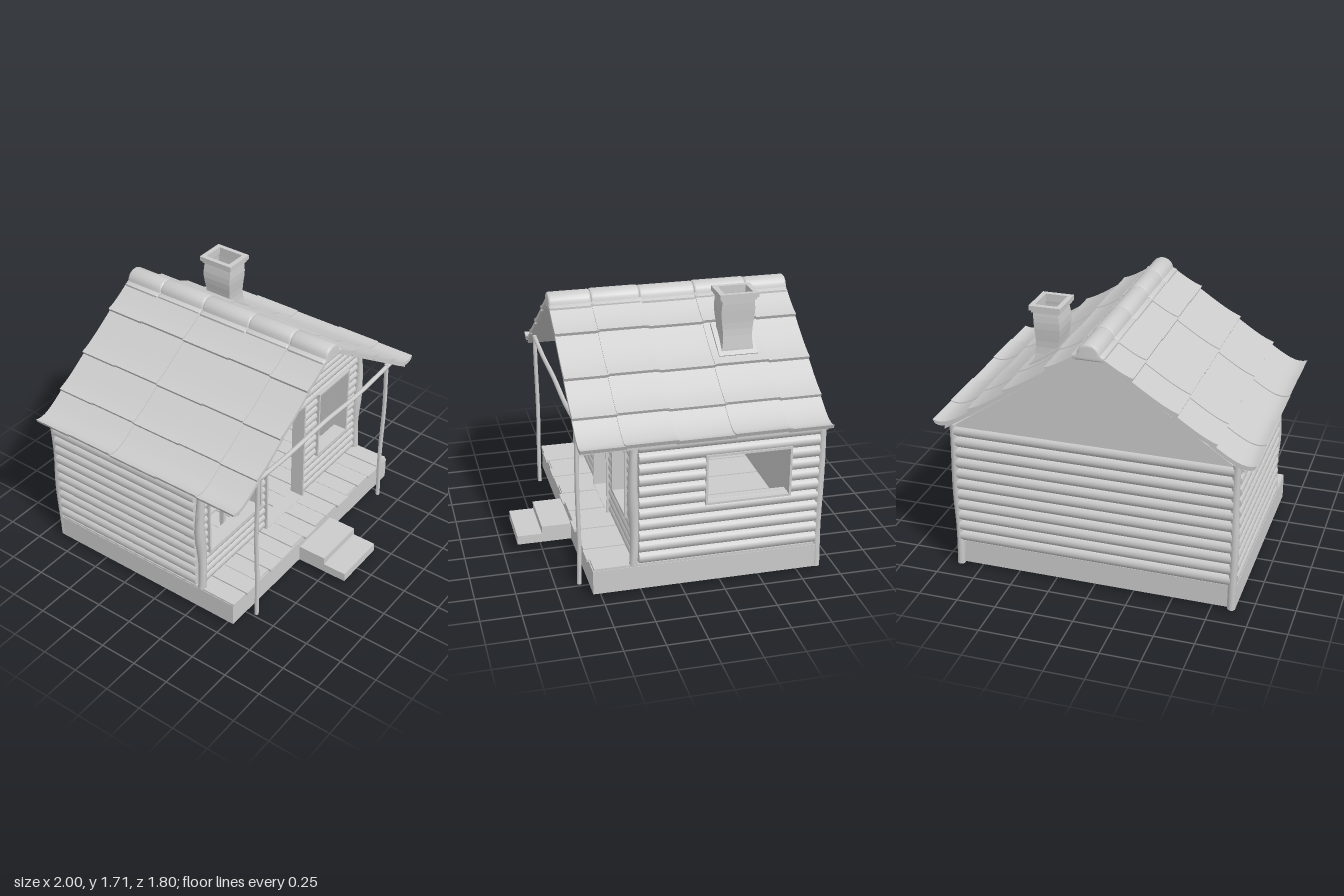
import * as THREE from 'three';
import { toCreasedNormals } from 'three/addons/utils/BufferGeometryUtils.js';

const mat = new THREE.MeshStandardMaterial({ color: 0xcccccc });
const thinMat = new THREE.MeshStandardMaterial({ color: 0xcccccc, side: THREE.DoubleSide });

export function createModel() {
  const model = new THREE.Group();

  function add(name, geo, x = 0, y = 0, z = 0, parent = model, material = mat) {
    const mesh = new THREE.Mesh(geo, material);
    mesh.name = name;
    mesh.position.set(x, y, z);
    parent.add(mesh);
    return mesh;
  }
  // box given by its min and max on each axis
  function block(name, x0, x1, y0, y1, z0, z1, parent = model) {
    return add(name, new THREE.BoxGeometry(x1 - x0, y1 - y0, z1 - z0),
      (x0 + x1) / 2, (y0 + y1) / 2, (z0 + z1) / 2, parent);
  }
  function extrude(points, depth, holes = [], bevel = 0) {
    const shape = new THREE.Shape(points.map(p => new THREE.Vector2(...p)));
    for (const [a, b, c, d] of holes) {
      shape.holes.push(new THREE.Path([[a, c], [a, d], [b, d], [b, c]].map(p => new THREE.Vector2(...p))));
    }
    return new THREE.ExtrudeGeometry(shape, { depth, bevelEnabled: bevel > 0, bevelSize: bevel,
      bevelThickness: bevel, bevelOffset: -bevel, bevelSegments: 3 });
  }
  const rect = (a, b, c, d) => [[a, c], [b, c], [b, d], [a, d]];

  // upright pole, bent and swollen along its height
  function pole(name, x, z, y0, y1, r, wave, swell, phase) {
    const geo = new THREE.CylinderGeometry(r, r, y1 - y0, 10, 14);
    const p = geo.attributes.position;
    for (let i = 0; i < p.count; i++) {
      const t = p.getY(i) / (y1 - y0) + 0.5;
      const s = 1 + swell * Math.exp(-((t - 0.48) ** 2) / 0.025);
      p.setX(i, p.getX(i) * s + wave * Math.sin(t * 9 + phase));
      p.setZ(i, p.getZ(i) * s + wave * Math.cos(t * 8 + phase));
    }
    geo.computeVertexNormals();
    add(name, toCreasedNormals(geo, 0.9), x, (y0 + y1) / 2, z);
  }

  // wall in its own plane: logs outside (+z), a flat lining inside, framed openings [x0, x1, y0, y1]
  function logWall(name, half, rows, y0, y1, openings) {
    const wall = new THREE.Group();
    wall.name = name;
    const step = (y1 - y0) / rows;
    for (let i = 0; i < rows; i++) {
      const y = y0 + (i + 0.5) * step;
      const len = typeof half === 'function' ? half(y) : half;
      if (len < 0.02) continue;
      let start = -len;
      const cuts = openings.filter(o => y > o[2] && y < o[3]).sort((a, b) => a[0] - b[0]);
      for (const cut of [...cuts, [len, len]]) {
        if (cut[0] - start > 0.01) {
          const log = new THREE.CylinderGeometry(step * 0.56, step * 0.56, cut[0] - start, 12);
          add('log', log.rotateZ(Math.PI / 2), (start + cut[0]) / 2, y, 0, wall);
        }
        start = cut[1];
      }
    }
    const w0 = typeof half === 'function' ? half(y0) : half;
    const w1 = typeof half === 'function' ? Math.max(half(y1), 0.005) : half;
    add('lining', extrude([[-w0, y0], [w0, y0], [w1, y1], [-w1, y1]], 0.02, openings), 0, 0, -0.04, wall);
    for (const [a, b, c, d] of openings) {
      const f = 0.014;
      add('openingFrame', extrude(rect(a - f, b + f, Math.max(c - f, y0), d + f), 0.095,
        [[a, b, Math.max(c, y0 + 0.003), d]]), 0, 0, -0.05, wall);
    }
    model.add(wall);
    return wall;
  }

  // foundation, floor planks and steps
  block('foundation', -0.9, 0.9, 0.02, 0.175, -0.86, 0.55);
  const planks = 14;
  for (let i = 0; i < planks; i++) {
    const x = -0.9 + i * 1.8 / planks;
    const front = 0.555 + 0.012 * Math.sin(i * 2.3);
    block('floorPlank', x + 0.003, x + 1.8 / planks - 0.003, 0.172, 0.187 + 0.003 * (i % 2), -0.85, front);
  }
  block('upperStep', -0.17, 0.19, 0.02, 0.13, 0.54, 0.74);
  block('lowerStep', -0.17, 0.19, 0.02, 0.08, 0.73, 0.9);

  // log walls
  logWall('frontWall', 0.86, 14, 0.19, 1.02, [[-0.8, -0.28, 0.44, 0.92], [-0.2, 0.2, 0.19, 0.94],
    [0.385, 0.72, 0.44, 0.92]]).position.z = 0.27;
  const back = logWall('backWall', 0.87, 11, 0.19, 1, []);
  back.position.z = -0.86;
  back.rotation.y = Math.PI;
  const right = logWall('windowSideWall', 0.56, 11, 0.19, 1, [[-0.14, 0.37, 0.56, 0.86]]);
  right.rotation.y = Math.PI / 2;
  const left = logWall('plainSideWall', 0.56, 11, 0.19, 1, []);
  left.rotation.y = -Math.PI / 2;
  right.position.set(0.87, 0, -0.295);
  left.position.set(-0.87, 0, -0.295);

  // gables
  logWall('frontGable', y => (1.595 - y) / 0.68, 12, 1.01, 1.59,
    [[-0.18, 0.18, 1.14, 1.38]]).position.z = 0.27;
  add('backGable', extrude([[-0.88, 0.99], [0.88, 0.99], [0, 1.6]], 0.025), 0, 0, -0.885);

  // corner posts and porch frame
  for (const s of [-1, 1]) {
    pole('frontCornerPost', s * 0.877, 0.295, 0.18, 1.01, 0.026, 0.006, 0.35, s);
    pole('backCornerPost', s * 0.88, -0.872, 0.02, 1.01, 0.025, 0.004, 0.1, s + 2);
    pole('porchPole', s * 0.72, 0.6, 0, 1.1, 0.014, 0.003, 0, s);
  }
  const beamPath = new THREE.CatmullRomCurve3([[-0.77, 1.085], [-0.4, 1.07], [0, 1.078], [0.35, 1.062], [0.77, 1.085]]
    .map(([x, y]) => new THREE.Vector3(x, y, 0.6)));
  add('porchBeam', new THREE.TubeGeometry(beamPath, 24, 0.015, 8));

  // roof: deck, overlapping tile courses with flared lips, ridge caps
  const slope = x => 1.63 - 0.68 * x;
  const seams = [-0.9, -0.63, -0.295, 0.058, 0.365, 0.63];
  const courses = [[1, 0.72, 0.08], [0.77, 0.5, 0.026], [0.54, 0.23, 0.026], [0.27, 0.02, 0.026]];
  for (const s of [-1, 1]) {
    const deck = [[0, 1.615], [0.93, 0.985], [0.93, 0.97], [0, 1.595]].map(([x, y]) => [s * x, y]);
    add('roofDeck', extrude(deck, 1.51), 0, 0, -0.89);
    for (const [outer, inner, lift] of courses) {
      const top = [], under = [];
      for (let i = 0; i <= 10; i++) {
        const t = i / 10, x = inner + (outer - inner) * t;
        const y = slope(x) + lift * t ** 4;
        top.push([s * x, y]);
        under.unshift([s * (x - 0.012 * t), y - 0.026]);
      }
      for (let c = 0; c < 5; c++) {
        const z0 = seams[c] - (c ? 0.008 : 0);
        const tile = toCreasedNormals(extrude([...top, ...under], seams[c + 1] - z0), 0.5);
        add('roofTile', tile, 0, 0.007 * (c % 2), z0);
      }
    }
  }
  for (let c = 0; c < 5; c++) {
    const pts = [[-0.1, 1.545], [0.1, 1.545], [0.1, 1.575], [0.072, 1.585]];
    for (let i = 1; i < 12; i++) {
      const a = i / 12 * Math.PI;
      pts.push([0.07 * Math.cos(a), 1.585 + 0.063 * Math.sin(a)]);
    }
    pts.push([-0.072, 1.585], [-0.1, 1.575]);
    const cap = extrude(pts, seams[c + 1] - seams[c] - 0.024, [], 0.014);
    add('ridgeCap', toCreasedNormals(cap, 0.6), 0, 0.004 * (c % 2), seams[c] + 0.012);
  }

  // chimney: crooked hollow shaft, rim and skirt
  const chimney = new THREE.Group();
  chimney.name = 'chimney';
  chimney.position.set(0.38, 0, -0.46);
  model.add(chimney);
  const shaft = new THREE.CylinderGeometry(1, 1, 0.41, 4, 10, true).rotateY(Math.PI / 4).toNonIndexed();
  const sp = shaft.attributes.position;
  for (let i = 0; i < sp.count; i++) {
    const t = sp.getY(i) / 0.41 + 0.5;
    const w = 1 + 0.07 * Math.cos(t * 8);
    sp.setX(i, sp.getX(i) * 0.108 * w + 0.006 * Math.sin(t * 7));
    sp.setZ(i, sp.getZ(i) * 0.14 * w);
  }
  shaft.computeVertexNormals();
  add('chimneyShaft', shaft, 0, 1.475, 0, chimney, thinMat);
  const ring = (w, d, iw, id, h) => extrude(rect(-w, w, -d, d), h, [[-iw, iw, -id, id]]).rotateX(-Math.PI / 2);
  add('chimneyRim', ring(0.1, 0.123, 0.07, 0.09, 0.03), 0, 1.677, 0, chimney);
  add('chimneyRimStep', ring(0.088, 0.112, 0.07, 0.09, 0.02), 0, 1.66, 0, chimney);
  const skirt = add('chimneySkirt', new THREE.BoxGeometry(0.25, 0.025, 0.245), 0, slope(0.38) + 0.012, 0, chimney);
  skirt.rotation.z = -Math.atan(0.68);

  // table behind the large window
  block('tableTop', -0.82, -0.35, 0.465, 0.482, -0.35, 0.13);
  for (const x of [-0.78, -0.39]) for (const z of [-0.31, 0.09]) {
    block('tableLeg', x - 0.015, x + 0.015, 0.185, 0.466, z - 0.015, z + 0.015);
  }

  // chair, built with its back at local x = 0 and its seat toward -x
  const chair = new THREE.Group();
  chair.name = 'chair';
  chair.position.set(-0.1, 0.187, -0.09);
  chair.rotation.y = 0.4;
  model.add(chair);
  block('chairSeat', -0.2, 0.01, 0.15, 0.17, -0.11, 0.11, chair);
  const chairBack = new THREE.Group();
  chairBack.name = 'chairBack';
  chairBack.position.y = 0.16;
  chairBack.rotation.z = -0.12;
  chair.add(chairBack);
  for (const z of [-0.1, 0.1]) {
    block('chairLeg', -0.195, -0.173, 0, 0.15, z - 0.011, z + 0.011, chair);
    block('chairLeg', -0.015, 0.007, 0, 0.15, z - 0.011, z + 0.011, chair);
    block('chairBackPost', -0.011, 0.011, 0, 0.245, z - 0.011, z + 0.011, chairBack);
  }
  for (const y of [0.085, 0.19]) block('chairSlat', -0.006, 0.006, y, y + 0.05, -0.1, 0.1, chairBack);

  return model;
}
